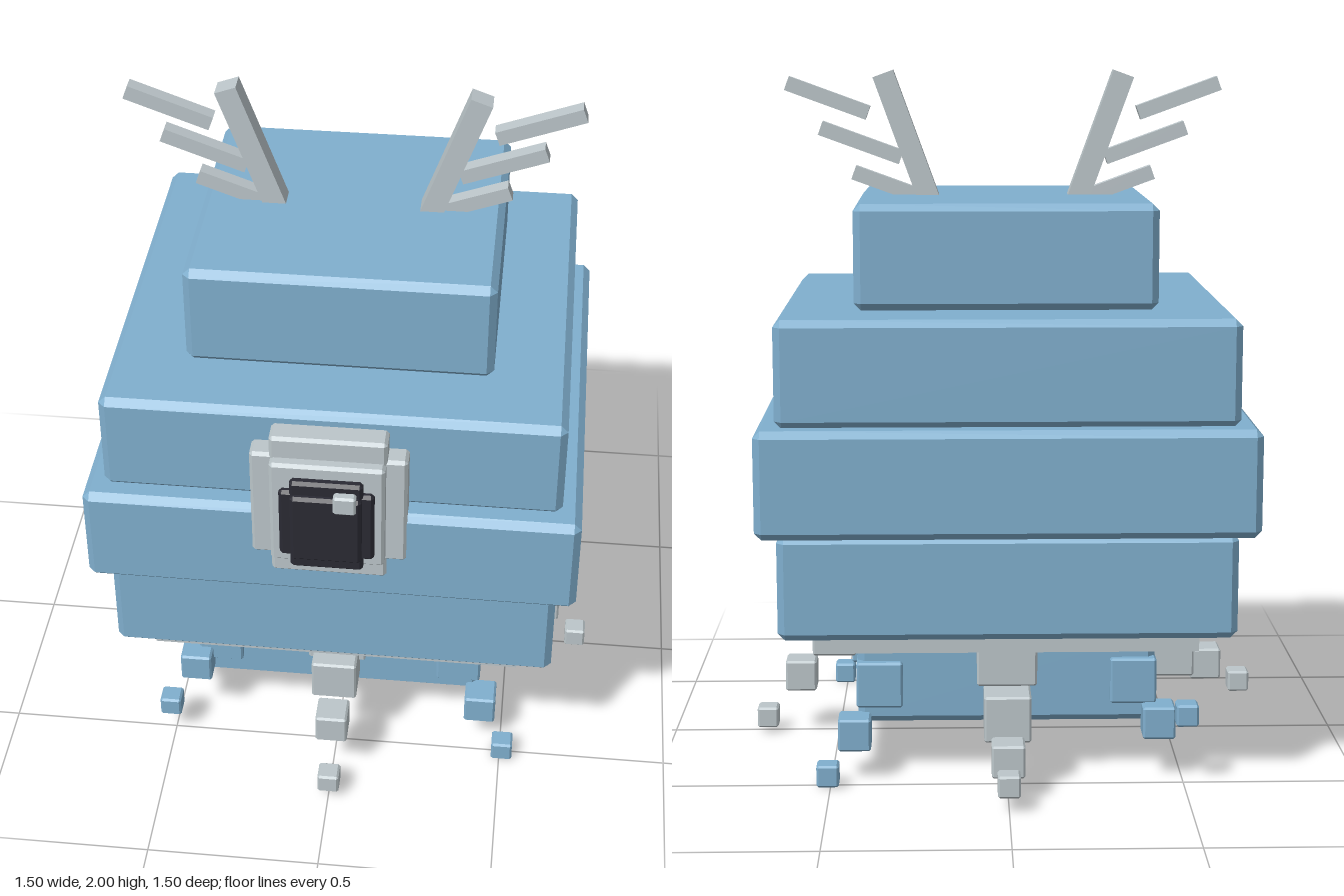
import * as THREE from 'three';
import { ConvexGeometry } from 'three/addons/geometries/ConvexGeometry.js';

// Box with chamfered edges, as the hull of three slightly shrunken boxes
function chamferBox(w, h, d, c) {
  const points = [];
  for (const sx of [-1, 1]) for (const sy of [-1, 1]) for (const sz of [-1, 1]) {
    const x = w / 2, y = h / 2, z = d / 2;
    points.push(
      new THREE.Vector3(sx * x, sy * (y - c), sz * (z - c)),
      new THREE.Vector3(sx * (x - c), sy * y, sz * (z - c)),
      new THREE.Vector3(sx * (x - c), sy * (y - c), sz * z));
  }
  return new ConvexGeometry(points);
}

export function createModel() {
  const model = new THREE.Group();
  model.name = 'cubeCreature';

  const material = (name, color) => {
    const m = new THREE.MeshStandardMaterial({ color });
    m.name = name;
    return m;
  };
  const blue = material('blue', 0x80afce);
  const grey = material('grey', 0xbcc6ca);
  const black = material('black', 0x2a2a33);

  const add = (parent, name, geometry, mat, x, y, z) => {
    const mesh = new THREE.Mesh(geometry, mat);
    mesh.name = name;
    mesh.position.set(x, y, z);
    parent.add(mesh);
    return mesh;
  };

  // Stacked body tiers: half width, half depth, bottom, top
  const tiers = [
    ['base', 0.425, 0.405, 0.155, 0.43],
    ['lowerBody', 0.635, 0.605, 0.452, 0.747],
    ['middleBody', 0.69, 0.657, 0.747, 1.048],
    ['upperBody', 0.635, 0.605, 1.045, 1.342],
    ['head', 0.425, 0.402, 1.342, 1.638],
  ];
  for (const [name, hx, hz, y0, y1] of tiers) {
    add(model, name, chamferBox(hx * 2, y1 - y0, hz * 2, 0.02), blue, 0, (y0 + y1) / 2, 0);
  }
  add(model, 'undersidePlate', new THREE.BoxGeometry(1.07, 0.055, 1.08), grey, 0, 0.428, 0);

  // Eye: crossed frame and pupil layers (half width, bottom, top, back, front)
  const eye = new THREE.Group();
  eye.name = 'eye';
  model.add(eye);
  const layers = [
    ['frameWide', grey, 0.215, 0.895, 1.245, 0.55, 0.665],
    ['frameTall', grey, 0.16, 0.835, 1.305, 0.55, 0.67],
    ['frameFront', grey, 0.157, 0.902, 1.24, 0.62, 0.702],
    ['pupilWide', black, 0.13, 0.937, 1.163, 0.66, 0.72],
    ['pupilTall', black, 0.1, 0.9, 1.2, 0.66, 0.725],
    ['pupilFront', black, 0.097, 0.94, 1.16, 0.69, 0.742],
  ];
  for (const [name, mat, hx, y0, y1, z0, z1] of layers) {
    add(eye, name, chamferBox(hx * 2, y1 - y0, z1 - z0, 0.009), mat, 0, (y0 + y1) / 2, (z0 + z1) / 2);
  }
  add(eye, 'eyeHighlight', chamferBox(0.062, 0.058, 0.06, 0.006), grey, 0.052, 1.147, 0.72);

  // Branching antennae, mirrored
  const tilt = THREE.MathUtils.degToRad(20);
  for (const side of [-1, 1]) {
    const antenna = new THREE.Group();
    antenna.name = side > 0 ? 'leftAntenna' : 'rightAntenna';
    model.add(antenna);
    add(antenna, 'stalk', new THREE.BoxGeometry(0.063, 0.45, 0.063), grey, side * 0.273, 1.777, 0)
      .rotation.z = -side * tilt;
    for (let i = 0; i < 3; i++) {
      add(antenna, 'barb', new THREE.BoxGeometry(0.25, 0.042, 0.042), grey,
        side * (0.32 + 0.096 * i), 1.66 + 0.129 * i, 0).rotation.z = side * tilt;
    }
  }

  // Tentacles: shrinking cubes moving outwards, each with its own heights
  const sizes = [0.17, 0.132, 0.093, 0.063];
  const straight = [0.4, 0.51, 0.613, 0.717];
  const diagonal = [0.29, 0.362, 0.433, 0.507];
  const tentacles = [
    ['frontTentacle', 0, 1, grey, [0.41, 0.32, 0.2, 0.062]],
    ['backTentacle', 0, -1, grey, [0.37, 0.215, 0.12, 0.08]],
    ['leftTentacle', 1, 0, grey, [0.41, 0.32, 0.185, 0.05]],
    ['rightTentacle', -1, 0, grey, [0.38, 0.25, 0.215, 0.155]],
    ['frontLeftTentacle', 1, 1, blue, [0.38, 0.285, 0.145, 0.035]],
    ['backLeftTentacle', 1, -1, blue, [0.36, 0.272, 0.14, 0.04]],
    ['frontRightTentacle', -1, 1, blue, [0.38, 0.3, 0.235, 0.12]],
    ['backRightTentacle', -1, -1, blue, [0.35, 0.28, 0.17, 0.21]],
  ];
  for (const [name, dx, dz, mat, heights] of tentacles) {
    const tentacle = new THREE.Group();
    tentacle.name = name;
    model.add(tentacle);
    const reach = dx && dz ? diagonal : straight;
    heights.forEach((y, i) => {
      add(tentacle, 'segment', chamferBox(sizes[i], sizes[i], sizes[i], 0.006), mat,
        dx * reach[i], y, dz * reach[i]);
    });
  }
  return model;
}
